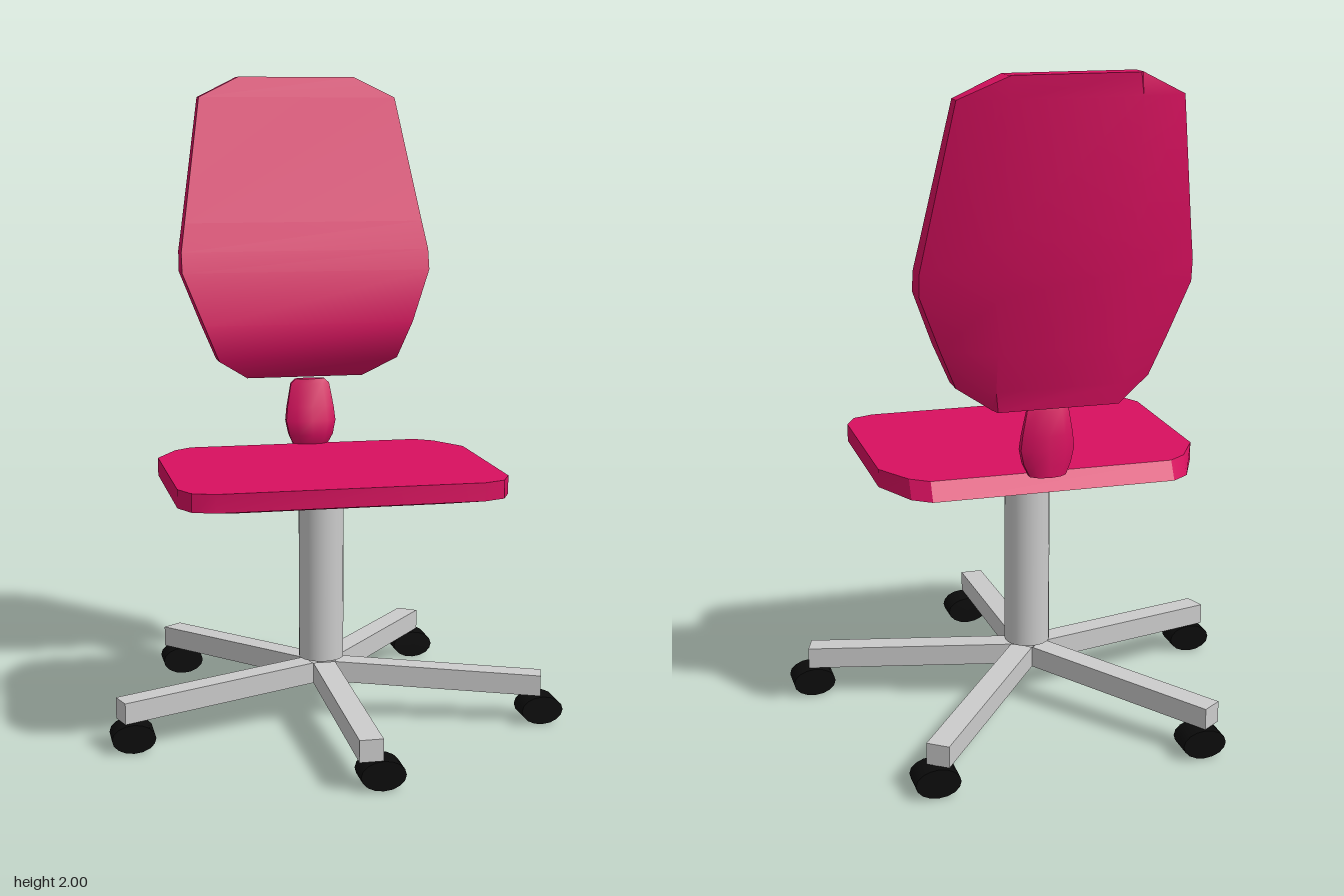
import * as THREE from 'three';
import { toCreasedNormals } from 'three/addons/utils/BufferGeometryUtils.js';

const pink = new THREE.MeshStandardMaterial({ color: 0xd9105f });
const grey = new THREE.MeshStandardMaterial({ color: 0xcccccc });
const black = new THREE.MeshStandardMaterial({ color: 0x0b0b0b });

// Skin a stack of convex rings, bottom to top; each ring is { y, pts: [[x, z], ...] }
// running front -> +x -> back -> -x.
function loft(rings, crease) {
  const n = rings[0].pts.length, top = (rings.length - 1) * n;
  const pos = rings.flatMap(({ y, pts }) => pts.flatMap(([x, z]) => [x, y, z]));
  const index = [];
  for (let r = 0; r < rings.length - 1; r++) {
    for (let j = 0; j < n; j++) {
      const a = r * n + j, b = r * n + (j + 1) % n;
      index.push(a, b, b + n, a, b + n, a + n);
    }
  }
  for (let j = 1; j < n - 1; j++) {
    index.push(0, j + 1, j, top, top + j, top + j + 1);
  }
  const g = new THREE.BufferGeometry();
  g.setAttribute('position', new THREE.Float32BufferAttribute(pos, 3));
  g.setIndex(index);
  return toCreasedNormals(g, crease);
}

// Seat outline: s scales the width; front, shoulder and rear are z positions
function seatRing(y, s, front, shoulder, rear) {
  const half = [
    [0.395, front], [0.46, front - 0.025 * s], [0.492, front - 0.09 * s],
    [0.492, shoulder], [0.425, rear + 0.04 * s], [0.37, rear],
  ].map(([x, z]) => [x * s, z]);
  const mirrored = half.map(([x, z]) => [-x, z]).reverse();
  return { y, pts: [...half, ...mirrored] };
}

// Backrest slice: flat front, short side wall, bulging back
function backRing([y, w, front, rim, back]) {
  const b = Math.min(0.19, w * 0.95);
  return { y, pts: [[-w, front], [w, front], [w, rim], [b, back], [-b, back], [-w, rim]] };
}

// Neck slice: ten-sided ellipse
function neckRing([y, rx, z0, z1]) {
  const pts = [];
  for (let i = 0; i < 10; i++) {
    const a = (i / 10) * Math.PI * 2;
    pts.push([Math.sin(a) * rx, (z0 + z1) / 2 + Math.cos(a) * (z1 - z0) / 2]);
  }
  return { y, pts };
}

export function createModel() {
  const group = new THREE.Group();
  const add = (name, geometry, material, x = 0, y = 0, z = 0) => {
    const mesh = new THREE.Mesh(geometry, material);
    mesh.name = name;
    mesh.position.set(x, y, z);
    group.add(mesh);
    return mesh;
  };

  // Seat cushion with dished underside
  add('seat', loft([
    seatRing(0.715, 0.3, 0.03, -0.1, -0.155),
    seatRing(0.735, 0.78, 0.28, -0.15, -0.22),
    seatRing(0.77, 1, 0.425, -0.15, -0.335),
    seatRing(0.825, 1, 0.425, -0.15, -0.305),
  ], 0.5), pink, -0.022);

  // Reclined backrest: y, half width, front z, rim z, back z
  add('backrest', loft([
    [1.04, 0.19, -0.33, -0.36, -0.39],
    [1.105, 0.29, -0.262, -0.335, -0.405],
    [1.22, 0.338, -0.248, -0.35, -0.425],
    [1.385, 0.402, -0.285, -0.372, -0.457],
    [1.45, 0.402, -0.302, -0.38, -0.47],
    [1.54, 0.387, -0.33, -0.4, -0.485],
    [1.935, 0.322, -0.445, -0.495, -0.528],
    [2.0, 0.19, -0.465, -0.52, -0.535],
  ].map(backRing), 0.7), pink, -0.012);

  // Neck joining seat and backrest: y, half width, back z, front z
  add('neck', loft([
    [0.82, 0.058, -0.355, -0.285],
    [0.855, 0.075, -0.356, -0.268],
    [0.9, 0.085, -0.355, -0.274],
    [0.945, 0.08, -0.352, -0.285],
    [1.02, 0.066, -0.344, -0.303],
    [1.035, 0.05, -0.34, -0.306],
  ].map(neckRing), 0.8), pink, 0.002);

  // Gas column
  const hub = { x: -0.018, z: -0.045 };
  add('column', new THREE.CylinderGeometry(0.07, 0.07, 0.53, 24), grey, hub.x, 0.455, hub.z);

  // Five sloping legs with casters: leg end x, z, then caster x, z
  const caster = toCreasedNormals(
    new THREE.CylinderGeometry(1, 1, 0.085, 16).rotateX(Math.PI / 2).scale(0.066, 0.044, 1), 0.8);
  [
    [-0.016, 0.648, 0.02, 0.605],
    [-0.672, 0.167, -0.637, 0.163],
    [0.64, 0.167, 0.635, 0.163],
    [-0.425, -0.6, -0.395, -0.583],
    [0.412, -0.625, 0.415, -0.603],
  ].forEach(([ex, ez, cx, cz], i) => {
    const dx = ex - hub.x, dz = ez - hub.z, inner = 0.048;
    const length = Math.hypot(dx, dz) - inner;
    const g = new THREE.BoxGeometry(0.07, 0.065, length).translate(0, 0, length / 2);
    const p = g.attributes.position;
    for (let k = 0; k < p.count; k++) p.setY(k, p.getY(k) - 0.026 * p.getZ(k) / length);
    g.translate(0, 0, inner);
    g.computeVertexNormals();
    add('leg' + (i + 1), g, grey, hub.x, 0.148, hub.z).rotation.y = Math.atan2(dx, dz);
    add('caster' + (i + 1), caster, black, cx, 0.044, cz);
  });

  return group;
}
